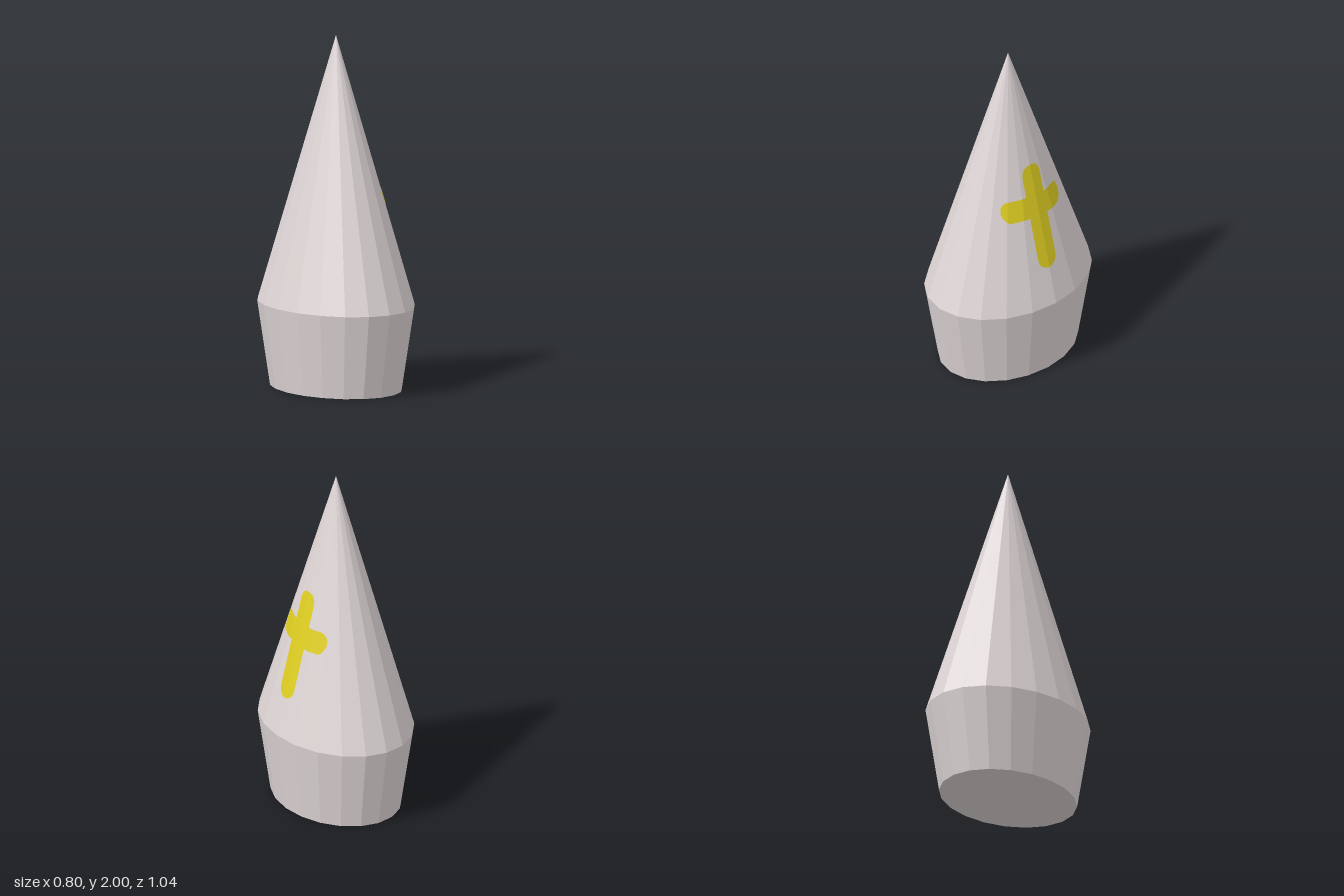
import * as THREE from 'three';

const SIDES = 20, RX = 0.4, RZ = 0.52; // oval plan at the widest ring
const WAIST = 0.48, TOP = 2, BASE = 0.837;

// x of the faceted crown surface at a given height and z, on the +x side
function crownX(y, z) {
  const s = (TOP - y) / (TOP - WAIST);
  const step = (2 * Math.PI) / SIDES;
  const t = Math.abs(z) / s;
  let k = 0;
  while (k < SIDES / 4 - 1 && RZ * Math.sin((k + 1) * step) < t) k++;
  const z0 = RZ * Math.sin(k * step), z1 = RZ * Math.sin((k + 1) * step);
  const x0 = RX * Math.cos(k * step), x1 = RX * Math.cos((k + 1) * step);
  return s * (x0 + ((x1 - x0) * (t - z0)) / (z1 - z0));
}

// Painted panel wrapped on the crown; range(z) gives its bottom and top height
function panel(name, zMin, zMax, range, material) {
  const geo = new THREE.PlaneGeometry(1, 1, 24, 24);
  const p = geo.attributes.position;
  for (let i = 0; i < p.count; i++) {
    const z = THREE.MathUtils.lerp(zMax, zMin, p.getX(i) + 0.5);
    const [lo, hi] = range(z);
    const y = THREE.MathUtils.lerp(lo, hi, p.getY(i) + 0.5);
    p.setXYZ(i, crownX(y, z) + 0.003, y, z);
  }
  geo.computeVertexNormals();
  const mesh = new THREE.Mesh(geo, material);
  mesh.name = name;
  return mesh;
}

// Rounded-end height, 1 inside and 0 at the tip
const round = (d) => Math.sqrt(Math.max(0, 1 - d * d));

export function createModel() {
  const cloth = new THREE.MeshStandardMaterial({ color: 0xdfd6d6, flatShading: true });
  cloth.name = 'pale grey cloth';
  const gold = new THREE.MeshStandardMaterial({ color: 0xdfce22, flatShading: true });
  gold.name = 'yellow paint';

  const model = new THREE.Group();
  model.name = 'pointedHat';

  // Flared lower band with a closed base
  const bandGeo = new THREE.CylinderGeometry(1, BASE, WAIST, SIDES);
  bandGeo.scale(RX, 1, RZ).translate(0, WAIST / 2, 0);
  const band = new THREE.Mesh(bandGeo, cloth);
  band.name = 'band';

  // Tall pointed crown
  const crownGeo = new THREE.ConeGeometry(1, TOP - WAIST, SIDES, 1, true);
  crownGeo.scale(RX, 1, RZ).translate(0, (TOP + WAIST) / 2, 0);
  const crown = new THREE.Mesh(crownGeo, cloth);
  crown.name = 'crown';

  // Painted cross on the left side: one upright and two arms
  const cross = new THREE.Group();
  cross.name = 'cross';
  const half = 0.064;
  const upright = (z) => {
    const e = 0.055 * round(z / half);
    return [0.755 - e, 1.265 + e];
  };
  const arm = (tip, mid) => (z) => {
    const d = Math.max(0, (Math.abs(z) - (tip - 0.05)) / 0.05);
    const h = 0.063 * round(d);
    return [mid - h, mid + h];
  };
  cross.add(
    panel('crossUpright', -half, half, upright, gold),
    panel('crossFrontArm', half, 0.217, arm(0.217, 1.08), gold),
    panel('crossBackArm', -0.2, -half, arm(0.2, 1.07), gold)
  );

  model.add(band, crown, cross);
  return model;
}
